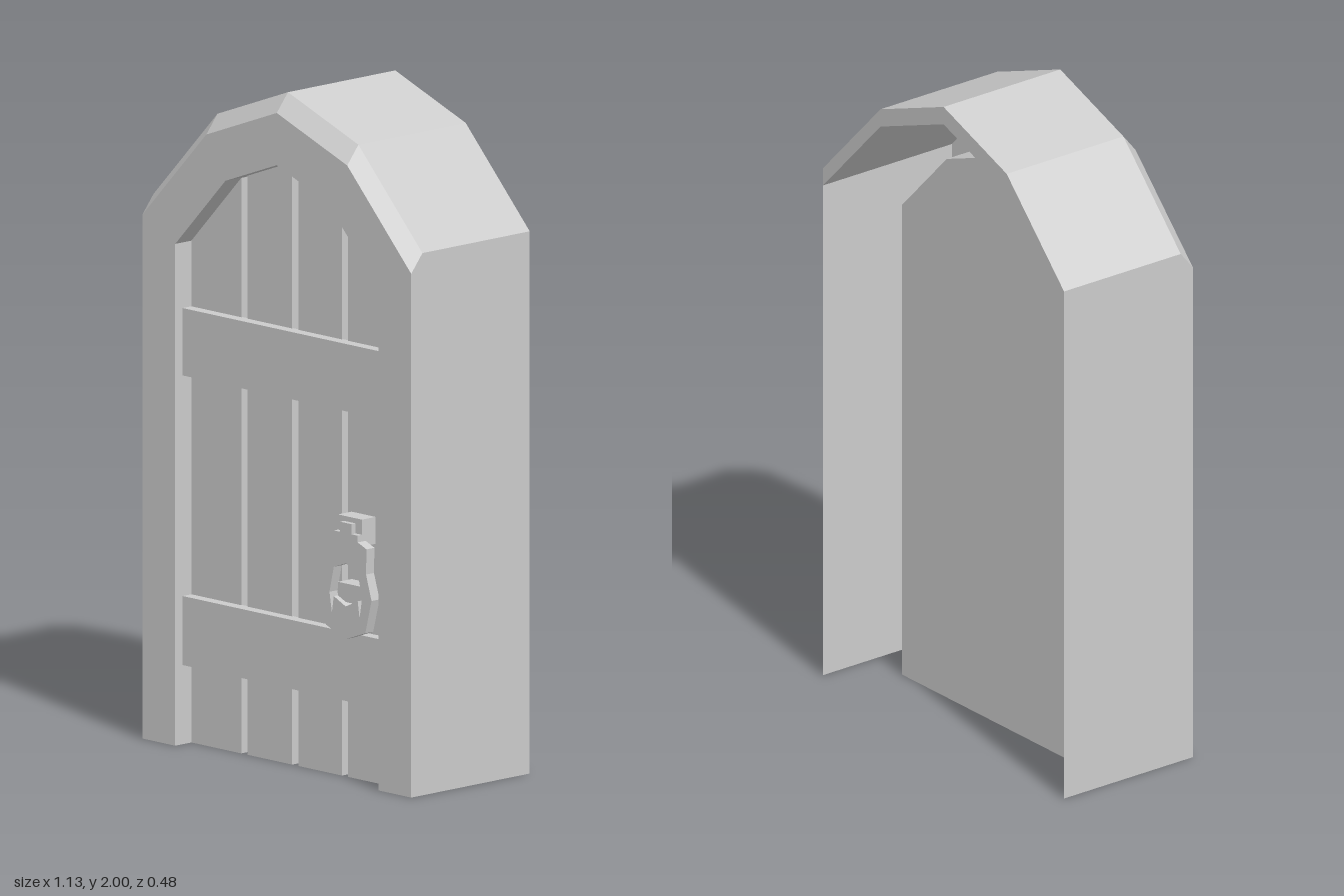
import * as THREE from 'three';

const material = new THREE.MeshStandardMaterial({ color: 0xcccccc, flatShading: true, side: THREE.DoubleSide });

// Half outlines from the foot (or spring line) up to the peak
const mirror = (half) => [...half, ...half.slice(0, -1).reverse().map(([x, y]) => [-x, y])];
const archTop = mirror([[0.563, 1.61], [0.295, 1.89], [0, 2]]);
const archLow = archTop.map(([x, y]) => [x, y - 0.055]);
const opening = mirror([[0.425, 0], [0.425, 1.49], [0.215, 1.71], [0, 1.79]]);
const FRONT = 0.235, BEVEL = 0.19, BACK = -0.242, PANEL = -0.06;

const toShape = (pts) => new THREE.Shape(pts.map(([x, y]) => new THREE.Vector2(x, y)));

function add(parent, name, geometry) {
  const mesh = new THREE.Mesh(geometry, material);
  mesh.name = name;
  parent.add(mesh);
  return mesh;
}

function flat(parent, name, pts, z) {
  add(parent, name, new THREE.ShapeGeometry(toShape(pts))).position.z = z;
}

function box(parent, name, x0, x1, y0, y1, z0, z1) {
  add(parent, name, new THREE.BoxGeometry(x1 - x0, y1 - y0, z1 - z0))
    .position.set((x0 + x1) / 2, (y0 + y1) / 2, (z0 + z1) / 2);
}

function extrude(parent, name, shape, z0, z1) {
  const geometry = new THREE.ExtrudeGeometry(shape, { depth: z1 - z0, bevelEnabled: false });
  add(parent, name, geometry).position.z = z0;
}

// Strip of quads joining outline a at depth za to outline b at depth zb
function strip(parent, name, a, za, b, zb) {
  const pos = [];
  for (let i = 0; i < a.length - 1; i++) {
    const p = [...a[i], za], q = [...a[i + 1], za], r = [...b[i + 1], zb], s = [...b[i], zb];
    pos.push(...p, ...r, ...q, ...p, ...s, ...r);
  }
  const geometry = new THREE.BufferGeometry();
  geometry.setAttribute('position', new THREE.Float32BufferAttribute(pos, 3));
  geometry.computeVertexNormals();
  add(parent, name, geometry);
}

// Height of the door arch at a given x
function archY(x) {
  const side = opening.slice(1, 4);
  const ax = Math.abs(x);
  const [p, q] = ax > side[1][0] ? [side[0], side[1]] : [side[1], side[2]];
  return p[1] + (q[1] - p[1]) * (p[0] - ax) / (p[0] - q[0]);
}

export function createModel() {
  const model = new THREE.Group();
  model.name = 'archedDoor';

  // Hollow stone surround with a sloped front edge
  const frame = new THREE.Group();
  frame.name = 'frame';
  model.add(frame);
  flat(frame, 'frameFront', [[0.563, 0], ...archLow, [-0.563, 0], ...[...opening].reverse()], FRONT);
  strip(frame, 'archBevel', archLow, FRONT, archTop, BEVEL);
  strip(frame, 'archRoof', archTop, BEVEL, archTop, BACK);
  strip(frame, 'archUnderside', archLow, BACK, archLow, FRONT);
  strip(frame, 'archBackRim', archTop, BACK, archLow, BACK);
  strip(frame, 'reveal', opening, PANEL, opening, FRONT);
  for (const s of [1, -1]) {
    const wall = toShape([[FRONT, 0], [FRONT, 1.555], [BEVEL, 1.61], [BACK, 1.61], [BACK, 0]]);
    const mesh = add(frame, s > 0 ? 'leftWall' : 'rightWall', new THREE.ShapeGeometry(wall));
    mesh.rotation.y = -s * Math.PI / 2;
    mesh.position.x = s * 0.563;
    if (s < 0) mesh.scale.x = -1;
    else mesh.scale.x = 1;
  }

  // Door leaf: back panel, planks with gaps and two battens
  const door = new THREE.Group();
  door.name = 'door';
  model.add(door);
  flat(door, 'backPanel', opening, PANEL);
  const edges = [-0.425, -0.203, 0.01, 0.218, 0.425];
  const gap = 0.013;
  for (let i = 0; i < 4; i++) {
    const x0 = edges[i] + (i > 0 ? gap : 0), x1 = edges[i + 1] - (i < 3 ? gap : 0);
    const bends = [-0.215, 0, 0.215].filter((x) => x > x0 && x < x1);
    const top = [x1, ...bends.reverse(), x0].map((x) => [x, archY(x)]);
    extrude(door, 'plank', toShape([[x0, 0], [x1, 0], ...top]), 0.08, 0.17);
  }
  box(door, 'lowerBatten', -0.425, 0.425, 0.235, 0.44, 0.165, 0.205);
  box(door, 'upperBatten', -0.425, 0.425, 1.095, 1.295, 0.165, 0.205);

  // Ring pull hanging from a small mount
  const handle = new THREE.Group();
  handle.name = 'handle';
  handle.position.x = 0.296;
  model.add(handle);
  const ring = toShape(mirror([[0, 0.43], [0.082, 0.46], [0.108, 0.56], [0.085, 0.635], [0.087, 0.71],
    [0.05, 0.725], [0.05, 0.745], [0.024, 0.745], [0.024, 0.775], [0, 0.775]]).slice(0, -1));
  ring.holes.push(toShape([[0, 0.655], [-0.05, 0.637], [-0.068, 0.56], [-0.058, 0.5], [-0.05, 0.55],
    [0, 0.527], [0.05, 0.55], [0.058, 0.5], [0.068, 0.56], [0.05, 0.637]]));
  extrude(handle, 'ring', ring, 0.21, 0.242);
  box(handle, 'mount', -0.05, 0.05, 0.71, 0.79, 0.165, 0.225);
  box(handle, 'knob', -0.05, 0.05, 0.535, 0.59, 0.165, 0.225);

  return model;
}
